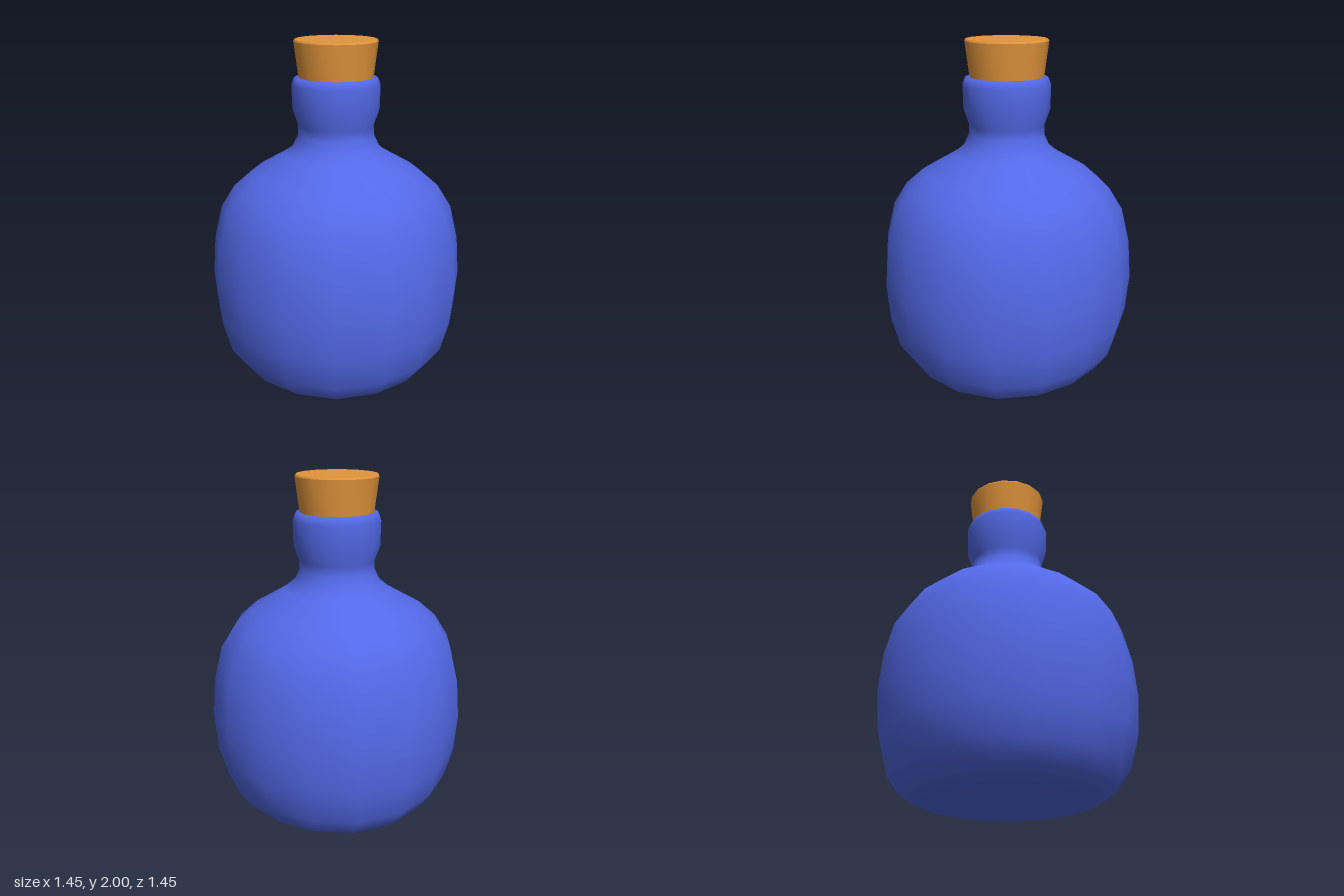
import * as THREE from 'three';
import { mergeVertices, toCreasedNormals } from 'three/addons/utils/BufferGeometryUtils.js';

const SIDES = 16;

// Revolve a list of [radius, height] points, bottom to top, with a welded seam
function revolve(points) {
  const geo = new THREE.LatheGeometry(points.map(([r, y]) => new THREE.Vector2(r, y)), SIDES);
  geo.deleteAttribute('uv');
  geo.deleteAttribute('normal');
  return mergeVertices(geo);
}

export function createModel() {
  const group = new THREE.Group();
  const blueGlass = new THREE.MeshStandardMaterial({ color: 0x566df0 });
  const corkBrown = new THREE.MeshStandardMaterial({ color: 0xe2953c });

  // Bottle: rounded belly, pinched neck and thick lip
  const bottleGeo = revolve([
    [0, 0], [0.35, 0.004], [0.481, 0.026], [0.582, 0.085], [0.661, 0.2], [0.709, 0.385],
    [0.726, 0.603], [0.709, 0.825], [0.661, 1.026], [0.582, 1.155], [0.481, 1.245],
    [0.302, 1.352], [0.249, 1.397], [0.218, 1.465], [0.218, 1.52], [0.249, 1.61],
    [0.252, 1.75], [0.235, 1.79], [0.2, 1.795],
  ]);
  // The belly is very slightly squared: wider on the diagonals
  const pos = bottleGeo.attributes.position;
  for (let i = 0; i < pos.count; i++) {
    if (pos.getY(i) > 1.3) continue;
    const angle = Math.atan2(pos.getZ(i), pos.getX(i));
    const k = 1 + 0.03 * Math.sin(2 * angle) ** 2;
    pos.setX(i, pos.getX(i) * k);
    pos.setZ(i, pos.getZ(i) * k);
  }
  bottleGeo.computeVertexNormals();
  const bottle = new THREE.Mesh(bottleGeo, blueGlass);
  bottle.name = 'bottle';

  // Tapered stopper with a thin bevel round its top
  const corkGeo = toCreasedNormals(
    revolve([[0, 1.7], [0.2, 1.7], [0.237, 1.99], [0.231, 2], [0, 2]]), 0.6);
  const cork = new THREE.Mesh(corkGeo, corkBrown);
  cork.name = 'cork';

  group.add(bottle, cork);
  return group;
}
